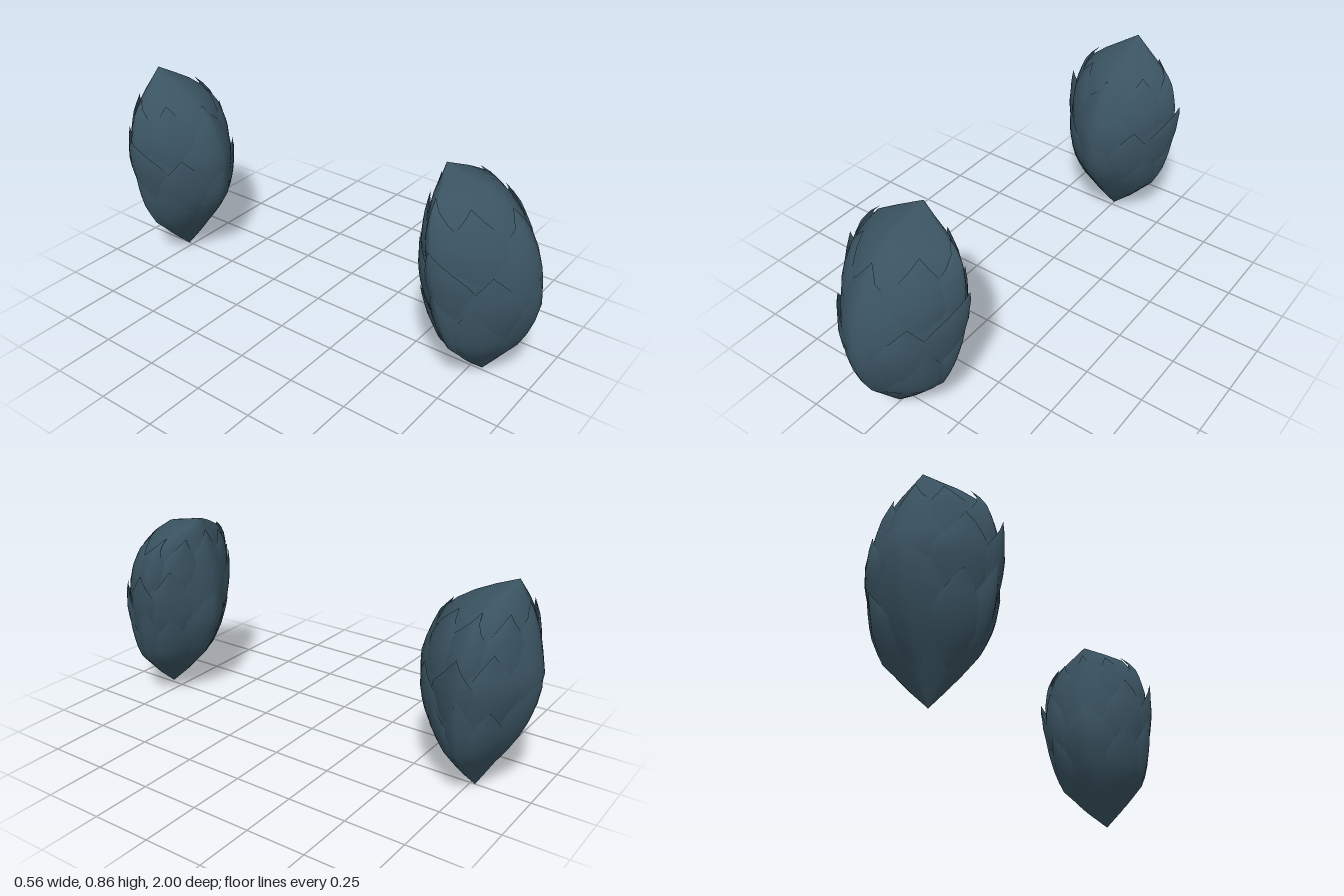
import * as THREE from 'three';

const slate = new THREE.MeshStandardMaterial({ color: 0x3a5361 });
slate.name = 'slate';
const slateShell = new THREE.MeshStandardMaterial({ color: 0x3a5361, side: THREE.DoubleSide });
slateShell.name = 'slate shell';

// Pod cross-sections: [y, half width, back z, widest z, front z]
const FRONT = [
  [0.01, 0, 0.8, 0.8, 0.8], [0.1, 0.105, 0.7, 0.78, 0.87], [0.2, 0.195, 0.61, 0.76, 0.94],
  [0.3, 0.225, 0.56, 0.74, 0.975], [0.4, 0.245, 0.53, 0.72, 0.995], [0.5, 0.255, 0.53, 0.7, 0.98],
  [0.6, 0.245, 0.54, 0.68, 0.945], [0.7, 0.215, 0.555, 0.66, 0.885], [0.76, 0.165, 0.565, 0.64, 0.82],
  [0.805, 0.08, 0.575, 0.62, 0.75], [0.835, 0, 0.58, 0.58, 0.58],
];
const BACK = [
  [0, 0, -0.77, -0.77, -0.77], [0.1, 0.105, -0.83, -0.76, -0.69], [0.2, 0.19, -0.89, -0.77, -0.62],
  [0.3, 0.225, -0.94, -0.78, -0.55], [0.4, 0.245, -0.97, -0.78, -0.53], [0.5, 0.255, -0.99, -0.79, -0.525],
  [0.6, 0.245, -0.965, -0.8, -0.555], [0.7, 0.21, -0.945, -0.81, -0.6], [0.76, 0.165, -0.925, -0.82, -0.665],
  [0.81, 0.085, -0.905, -0.84, -0.76], [0.86, 0, -0.88, -0.88, -0.88],
];

// Overlapping scales: [angle from the front, base y, tip y, angular half width, tip lift]
const SCALES = [
  [0, 0.05, 0.58, 0.75, 0.006], [0, 0.3, 0.74, 1.0, 0.012], [Math.PI, 0.06, 0.6, 0.8, 0.008],
  [Math.PI, 0.35, 0.79, 1.0, 0.01], [0.75, 0.2, 0.54, 0.5, 0.016], [1.0, 0.06, 0.41, 0.55, 0.01],
  [1.5, 0.3, 0.63, 0.55, 0.045], [1.65, 0.1, 0.48, 0.5, 0.014], [2.25, 0.08, 0.42, 0.5, 0.012],
  [2.2, 0.3, 0.64, 0.5, 0.018], [1.55, 0.5, 0.775, 0.6, 0.022], [0.85, 0.48, 0.755, 0.5, 0.014],
  [2.4, 0.5, 0.765, 0.5, 0.014],
];

// Point on the pod: soft diamond section, lifted outward from the core
function surface(rows, a, y, lift) {
  let k = 0;
  while (k < rows.length - 2 && y > rows[k + 1][0]) k++;
  const t = (y - rows[k][0]) / (rows[k + 1][0] - rows[k][0]);
  const [, w, zb, zw, zf] = rows[k].map((v, i) => THREE.MathUtils.lerp(v, rows[k + 1][i], t));
  const s = Math.sin(a), c = Math.cos(a);
  const px = Math.sign(s) * Math.abs(s) ** 1.33, pz = Math.sign(c) * Math.abs(c) ** 1.33;
  return [px * w + s * lift, y, zw + pz * (c > 0 ? zf - zw : zw - zb) + c * lift];
}

// Grid of points joined into a smooth skin
function skin(nu, nv, closed, point) {
  const pos = [], idx = [], cols = closed ? nu : nu + 1;
  for (let j = 0; j <= nv; j++) for (let i = 0; i < cols; i++) pos.push(...point(i / nu, j / nv));
  for (let j = 0; j < nv; j++) for (let i = 0; i < nu; i++) {
    const a = j * cols + i, b = j * cols + (i + 1) % cols;
    idx.push(a, b, b + cols, a, b + cols, a + cols);
  }
  const g = new THREE.BufferGeometry();
  g.setAttribute('position', new THREE.Float32BufferAttribute(pos, 3));
  g.setIndex(idx);
  g.computeVertexNormals();
  return g;
}

function makePod(name, rows) {
  const pod = new THREE.Group();
  pod.name = name;
  const y0 = rows[0][0], y1 = rows[rows.length - 1][0];

  // Core body
  const core = new THREE.Mesh(skin(24, 22, true, (u, v) =>
    surface(rows, u * Math.PI * 2, THREE.MathUtils.lerp(y0, y1, v), 0)), slate);
  core.name = 'podBody';
  pod.add(core);

  // Leaf-shaped scales: edges sink into the body, tips stand free
  const addScale = ([a, base, tip, half, lift]) => {
    const g = skin(8, 8, false, (u, v) => {
      const e = u * 2 - 1;
      const spread = half * (v < 0.55 ? 0.4 + 0.6 * Math.sin(v / 0.55 * Math.PI / 2) : (1 - v) / 0.45);
      const out = -0.005 + 0.014 * Math.sin(v * Math.PI) * (1 - e * e) + (lift + 0.005) * v ** 3;
      return surface(rows, a + e * spread, THREE.MathUtils.lerp(base, tip, v), out);
    });
    const scale = new THREE.Mesh(g, slateShell);
    scale.name = 'scale';
    pod.add(scale);
  };
  for (const s of SCALES) {
    addScale(s);
    if (Math.abs(Math.sin(s[0])) > 0.01) addScale([-s[0], ...s.slice(1)]);
  }
  return pod;
}

export function createModel() {
  const model = new THREE.Group();
  model.name = 'scaledPods';
  model.add(makePod('frontPod', FRONT), makePod('backPod', BACK));
  return model;
}
